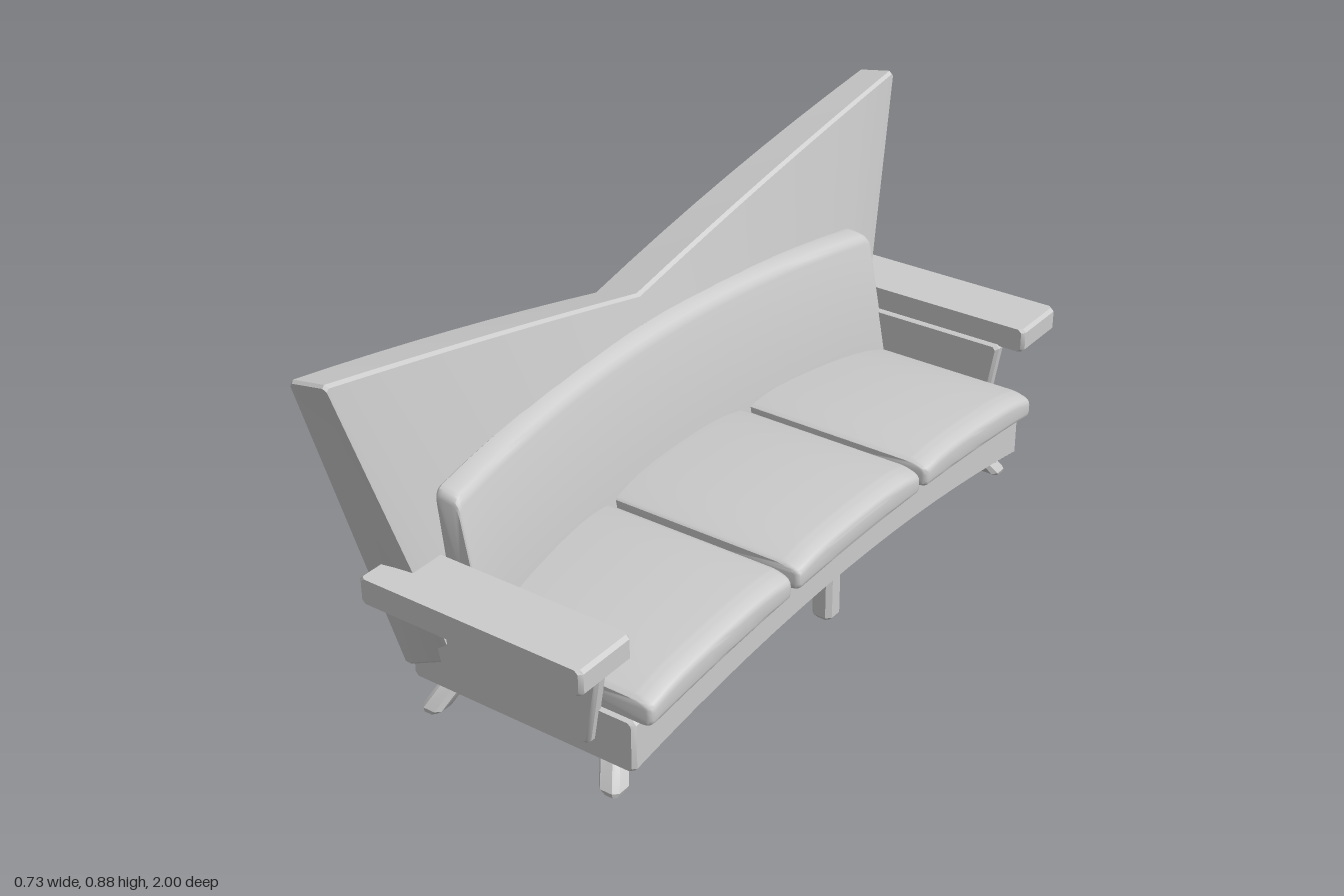
import * as THREE from 'three';
import { toCreasedNormals } from 'three/addons/utils/BufferGeometryUtils.js';

const material = new THREE.MeshStandardMaterial({ color: 0xcccccc });
const V = (x, y, z) => new THREE.Vector3(x, y, z);

// Replace every corner of a closed ring by a bevel (n = 1) or a rounding (n > 1)
function soften(ring, r, n) {
  const out = [];
  ring.forEach((p, i) => {
    const prev = ring[(i + ring.length - 1) % ring.length];
    const next = ring[(i + 1) % ring.length];
    const a = p.clone().add(prev.clone().sub(p).setLength(r));
    const b = p.clone().add(next.clone().sub(p).setLength(r));
    const curve = new THREE.QuadraticBezierCurve3(a, p, b);
    out.push(...curve.getPoints(n));
  });
  return out;
}

const centre = (ring) => ring.reduce((s, p) => s.add(p), V(0, 0, 0)).divideScalar(ring.length);

// Skin the rings given by section(t), t = -1..1, with bevelled or rounded, capped ends
function loft(name, section, { half, bevel = 0.008, round = 1, steps = 1, crease = 0.6 }) {
  const ts = [];
  const inset = [];
  const ends = [];
  for (let k = 0; k <= round; k++) {
    const a = (k / round) * Math.PI / 2;
    ends.push([-1 + (bevel / half) * (1 - Math.cos(Math.PI / 2 - a)), bevel * (1 - Math.sin(a))]);
  }
  // the outermost ring sits at the very end and is the most inset
  ends.forEach(([, d], k) => {
    const a = (k / round) * Math.PI / 2;
    ts.push(-1 + (bevel / half) * (1 - Math.cos(a)));
    inset.push(d);
  });
  const t0 = ts[ts.length - 1];
  for (let k = 1; k < steps; k++) { ts.push(t0 * (1 - 2 * k / steps)); inset.push(0); }
  for (let k = round; k >= 0; k--) { ts.push(-ts[k]); inset.push(inset[k]); }

  const rings = ts.map((t, k) => {
    const ring = soften(section(t), bevel, round);
    const c = centre(ring);
    return ring.map((p) => p.clone().add(c.clone().sub(p).setLength(inset[k])));
  });
  const n = rings[0].length;
  const points = rings.flat();
  const index = [];
  for (let k = 0; k < rings.length - 1; k++) {
    for (let i = 0; i < n; i++) {
      const j = (i + 1) % n, a = k * n, b = a + n;
      index.push(a + i, a + j, b + j, a + i, b + j, b + i);
    }
  }
  const last = (rings.length - 1) * n;
  const c0 = points.push(centre(rings[0])) - 1;
  const c1 = points.push(centre(rings[rings.length - 1])) - 1;
  for (let i = 0; i < n; i++) {
    const j = (i + 1) % n;
    index.push(c0, j, i, c1, last + i, last + j);
  }
  const geometry = new THREE.BufferGeometry().setFromPoints(points);
  geometry.setIndex(index);
  const mesh = new THREE.Mesh(toCreasedNormals(geometry, crease), material);
  mesh.name = name;
  return mesh;
}

const bow = (t) => 1 - t * t;
const seatLine = (z) => 0.19 + 0.045 * bow(z / 0.77);

export function createModel() {
  const sofa = new THREE.Group();
  sofa.name = 'sofa';

  // Arched base
  sofa.add(loft('base', (t) => {
    const z = 0.77 * t, low = 0.07 + 0.065 * bow(t), high = seatLine(z);
    return [V(-0.26, low, z), V(0.325, low, z), V(0.325, high, z), V(-0.26, high, z)];
  }, { half: 0.77, steps: 16 }));

  // Flared, bowed back board with a V-shaped top
  sofa.add(loft('backBoard', (t) => {
    const b = bow(t), v = Math.abs(t);
    return [
      V(-0.26, 0.1 + 0.035 * b, 0.785 * t),
      V(-0.132, 0.155, 0.775 * t),
      V(-0.2 - 0.035 * b, 0.657 + 0.222 * v, t),
      V(-0.297 - 0.068 * b, 0.622 + 0.24 * v, t),
    ];
  }, { half: 1, steps: 16 }));

  // Curved back cushion
  sofa.add(loft('backCushion', (t) => {
    const b = bow(t), z = 0.763 * t;
    return [
      V(-0.13 - 0.03 * b, 0.2, z),
      V(-0.042 - 0.072 * b, 0.2, z),
      V(-0.108 - 0.072 * b, 0.545 + 0.03 * b, z),
      V(-0.172 - 0.055 * b, 0.555 + 0.04 * b, z),
    ];
  }, { half: 0.763, bevel: 0.02, round: 3, steps: 16 }));

  // Three crowned seat cushions following the arch
  for (const zc of [-0.515, 0, 0.515]) {
    sofa.add(loft('seatCushion', (t) => {
      const z = zc + 0.246 * t, low = seatLine(z);
      const high = low + 0.056 + 0.016 * (1 - t ** 4);
      return [V(-0.15, low, z), V(0.362, low, z), V(0.362, high - 0.012, z),
        V(0.325, high, z), V(-0.15, high, z)];
    }, { half: 0.246, bevel: 0.014, round: 3, steps: 10 }));
  }

  for (const s of [-1, 1]) {
    // Armrest and its tapered side panel
    sofa.add(loft('armrest', (t) => {
      const z = s * 0.847 + 0.078 * t;
      return [V(-0.238, 0.346, z), V(0.325, 0.346, z), V(0.325, 0.406, z), V(-0.238, 0.406, z)];
    }, { half: 0.078 }));
    sofa.add(loft('armPanel', (t) => {
      const z = s * 0.773 + 0.017 * t;
      return [V(-0.157, 0.108, z), V(0.225, 0.108, z), V(0.265, 0.35, z), V(-0.202, 0.35, z)];
    }, { half: 0.017 }));
  }

  // Six legs: splayed at the corners, upright in the middle
  const leg = (name, foot, top) => loft(name, (t) => {
    const c = foot.clone().lerp(top, (t + 1) / 2), w = 0.026;
    return [V(c.x + w, c.y, c.z + w), V(c.x + w, c.y, c.z - w),
      V(c.x - w, c.y, c.z - w), V(c.x - w, c.y, c.z + w)];
  }, { half: top.y / 2, bevel: 0.011 });
  for (const s of [-1, 1]) {
    sofa.add(leg('frontLeg', V(0.27, 0, s * 0.77), V(0.225, 0.095, s * 0.705)));
    sofa.add(leg('backLeg', V(-0.21, 0, s * 0.77), V(-0.165, 0.095, s * 0.705)));
  }
  sofa.add(leg('middleFrontLeg', V(0.273, 0, 0), V(0.273, 0.145, 0)));
  sofa.add(leg('middleBackLeg', V(-0.21, 0, 0), V(-0.21, 0.145, 0)));

  return sofa;
}
